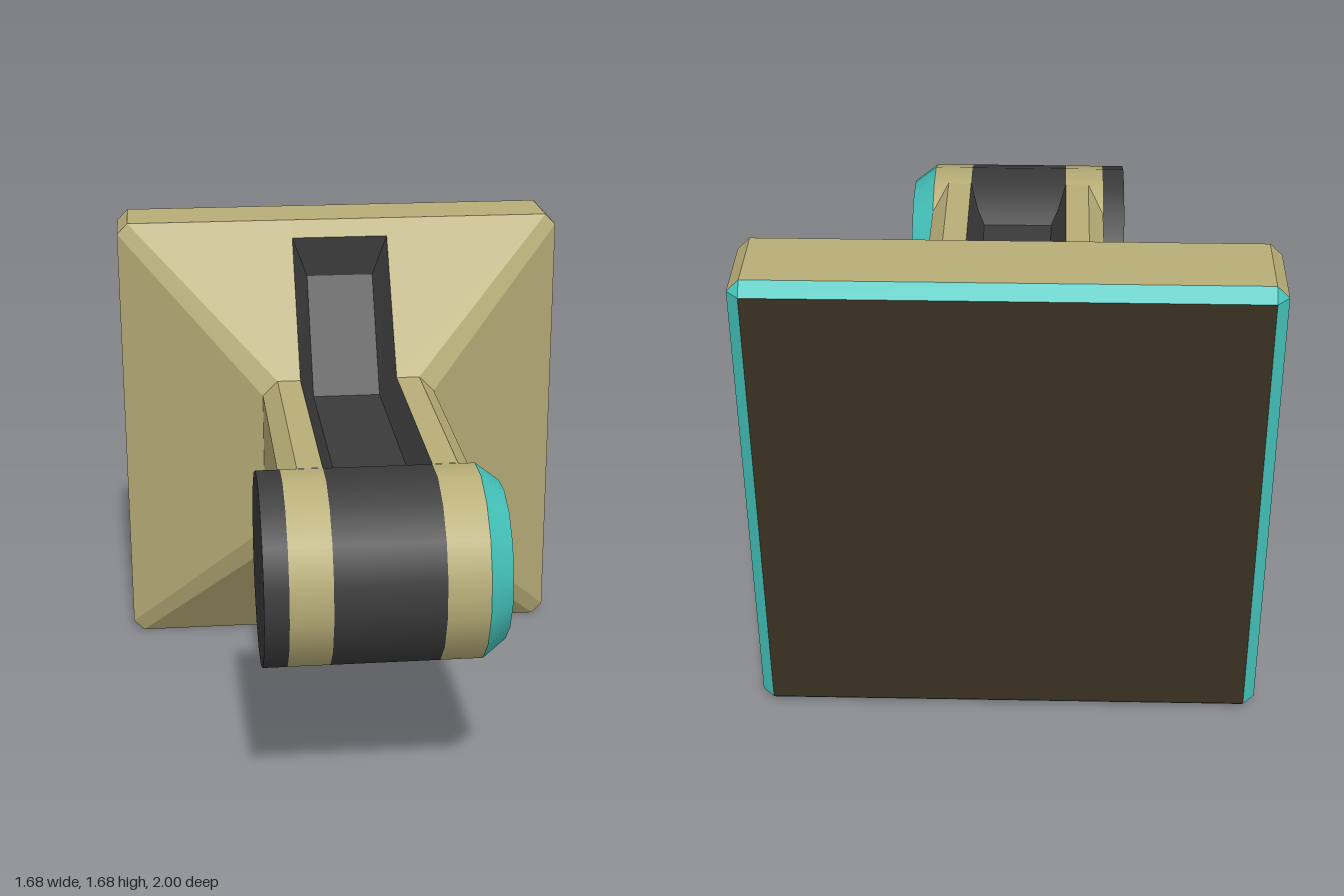
import * as THREE from 'three';

const TAN = 0xb8ae78, DARK = 0x3a3a3a, CYAN = 0x45c4bc, BROWN = 0x3a3020;
const MID = 0.84; // height of the model's axis

function addMesh(group, name, geometry, color) {
  const mesh = new THREE.Mesh(geometry, new THREE.MeshStandardMaterial({ color }));
  mesh.name = name;
  mesh.position.y = MID;
  group.add(mesh);
}

// Faces drawn in the x > 0, y > 0 quarter are mirrored into all four quarters
function mirrored(faces) {
  const pos = [];
  for (const sx of [1, -1]) for (const sy of [1, -1]) {
    for (const face of faces) {
      const p = face.map(([x, y, z]) => [x * sx, y * sy, z]);
      if (sx * sy < 0) p.reverse();
      for (let i = 1; i < p.length - 1; i++) pos.push(...p[0], ...p[i], ...p[i + 1]);
    }
  }
  const g = new THREE.BufferGeometry();
  g.setAttribute('position', new THREE.Float32BufferAttribute(pos, 3));
  g.computeVertexNormals();
  return g;
}

// Skin between a nearer and a farther cross-section
function skin(near, zNear, far, zFar) {
  const faces = [];
  for (let i = 0; i < near.length - 1; i++) {
    const face = [[...near[i], zNear], [...near[i + 1], zNear], [...far[i + 1], zFar]];
    if (far[i].join() !== far[i + 1].join()) face.push([...far[i], zFar]);
    faces.push(face);
  }
  return faces;
}

// Quarter of a chamfered square, starting at x = start
const section = (half, chamfer, start) => [
  [start, half], [half - chamfer, half], [half, half - chamfer], [half, 0]];

export function createModel() {
  const group = new THREE.Group();
  const W = 0.18, F = 0.125; // half widths of the groove at its mouth and floor

  // Neck, with its top and bottom left open for the groove
  const neck = section(0.32, 0.055, W);
  addMesh(group, 'neck', mirrored(skin(neck, 0.615, neck, -0.33)), TAN);

  // Flared base and its straight rim
  const rim = section(0.84, 0.04, 0);
  addMesh(group, 'flaredBase', mirrored([
    ...skin(neck, -0.33, section(0.84, 0.04, W), -0.71),
    [[0, 0.78, -0.666], [W, 0.78, -0.666], [W, 0.84, -0.71], [0, 0.84, -0.71]],
    ...skin(rim, -0.71, rim, -0.96),
  ]), TAN);

  // Bevelled edge and flat back of the base
  addMesh(group, 'baseBevel', mirrored(skin(rim, -0.96, section(0.8, 0, 0), -1)), CYAN);
  addMesh(group, 'basePlate',
    new THREE.PlaneGeometry(1.6, 1.6).rotateY(Math.PI).translate(0, 0, -1), BROWN);

  // Sunken groove along the neck and up the flare: [y, z] of mouth and floor
  const mouth = [[0.32, 0.615], [0.32, -0.33], [0.78, -0.666]];
  const floor = [[0.23, 0.615], [0.23, -0.41], [0.63, -0.67]];
  const groove = [[[0, ...floor[2]], [F, ...floor[2]], [W, ...mouth[2]], [0, ...mouth[2]]]];
  for (let i = 0; i < 2; i++) {
    groove.push([[0, ...floor[i]], [F, ...floor[i]], [F, ...floor[i + 1]], [0, ...floor[i + 1]]]);
    groove.push([[F, ...floor[i]], [W, ...mouth[i]], [W, ...mouth[i + 1]], [F, ...floor[i + 1]]]);
  }
  addMesh(group, 'groove', mirrored(groove), DARK);

  // Cross bar made of coloured bands, flat sides facing up and forward
  const R = 0.326, TURN = Math.PI / 16, Z = 0.68;
  const bands = [
    ['barEndBand', -0.4, -0.32, R, DARK],
    ['rightBand', -0.32, -W, R, TAN],
    ['middleBand', -W, W, R, DARK],
    ['leftBand', W, 0.32, R, TAN],
    ['barBevel', 0.32, 0.4, 0.265, CYAN],
  ];
  for (const [name, x0, x1, rEnd, color] of bands) {
    const g = new THREE.CylinderGeometry(rEnd, R, x1 - x0, 16, 1, true, TURN);
    addMesh(group, name, g.rotateZ(-Math.PI / 2).translate((x0 + x1) / 2, 0, Z), color);
  }

  // End caps of the bar
  for (const [name, side, r, color] of [['rightCap', -1, R, DARK], ['leftCap', 1, 0.265, TAN]]) {
    const g = new THREE.CircleGeometry(r, 16, TURN);
    addMesh(group, name, g.rotateY(side * Math.PI / 2).translate(side * 0.4, 0, Z), color);
  }
  return group;
}
